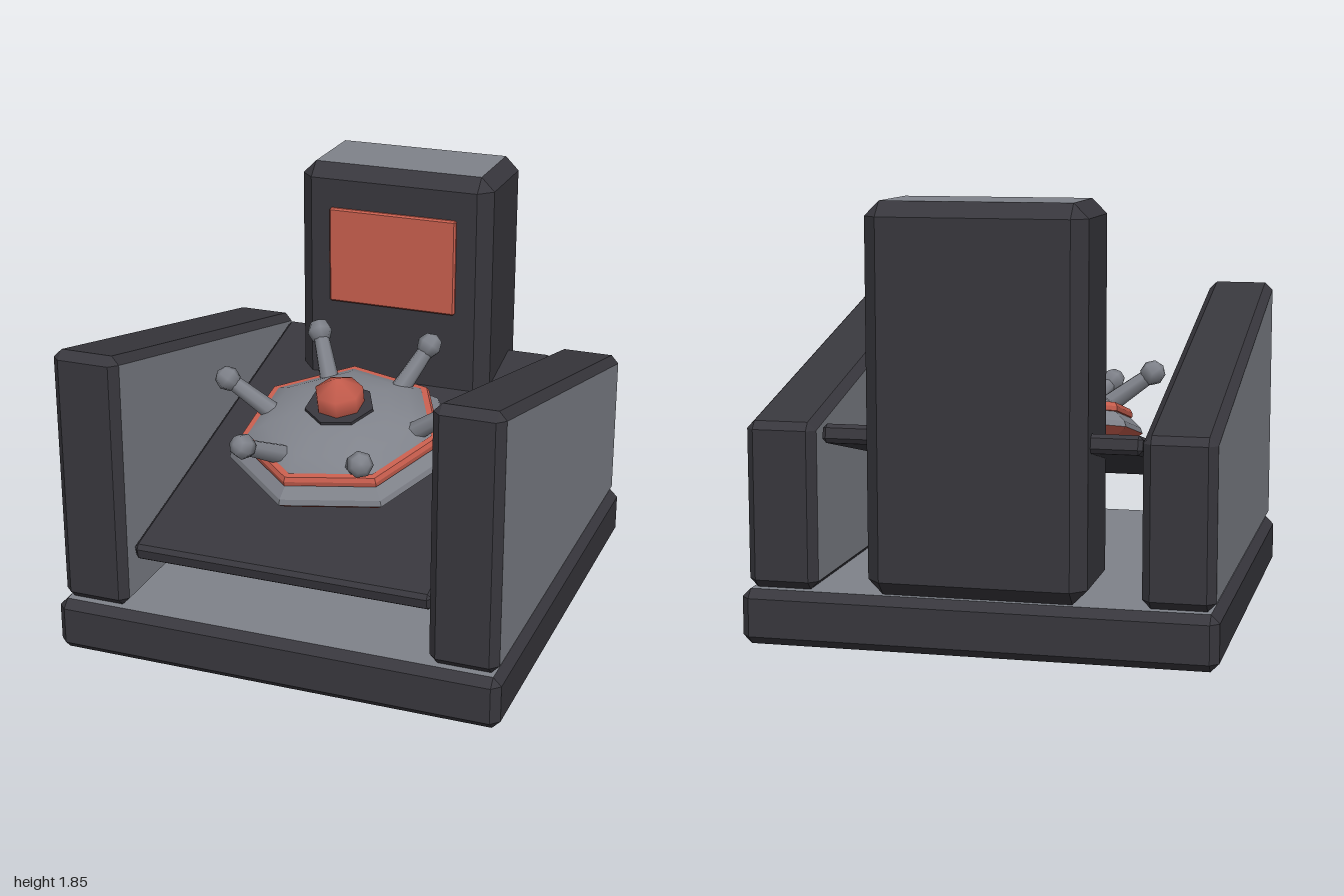
import * as THREE from 'three';
import { ConvexGeometry } from 'three/addons/geometries/ConvexGeometry.js';

function mat(name, color) {
  const m = new THREE.MeshStandardMaterial({ color });
  m.name = name;
  return m;
}

// Prism along z with every edge chamfered by c. Points are the cap outline, counter-clockwise.
// Group 0 holds the two caps, group 1 the rim and chamfers.
function chamferPrism(outline, depth, c) {
  const pts = [];
  const n = outline.length;
  const h = depth / 2;
  outline.forEach(([x, y], i) => {
    for (const s of [-1, 1]) pts.push(new THREE.Vector3(x, y, s * h));
    for (const [a, b] of [[outline[(i + n - 1) % n], outline[i]], [outline[i], outline[(i + 1) % n]]]) {
      const dx = b[0] - a[0], dy = b[1] - a[1], l = Math.hypot(dx, dy);
      for (const s of [-1, 1]) pts.push(new THREE.Vector3(x + (dy / l) * c, y - (dx / l) * c, s * (h - c)));
    }
  });
  const geo = new ConvexGeometry(pts);
  const normal = geo.attributes.normal;
  for (let i = 0; i < normal.count; i += 3) geo.addGroup(i, 3, Math.abs(normal.getZ(i)) > 0.99 ? 0 : 1);
  return geo;
}

// Chamfered box of full size w x h x d with its caps on +z and -z
function chamferBox(w, h, d, c) {
  const x = w / 2 - c, y = h / 2 - c;
  return chamferPrism([[-x, -y], [x, -y], [x, y], [-x, y]], d, c);
}

function flat(geo) {
  const g = geo.toNonIndexed();
  g.computeVertexNormals();
  return g;
}

// Seven-sided turned part with one corner on +x
function turned(profile) {
  return new THREE.LatheGeometry(profile.map(p => new THREE.Vector2(...p)), 7, Math.PI / 2);
}

export function createModel() {
  const model = new THREE.Group();
  const dark = mat('charcoal', 0x38373d);
  const grey = mat('steelGrey', 0x7f828a);
  const red = mat('coralRed', 0xc65d4d);

  function add(parent, name, geo, material, x = 0, y = 0, z = 0) {
    const m = new THREE.Mesh(geo, material);
    m.name = name;
    m.position.set(x, y, z);
    parent.add(m);
    return m;
  }

  // Base plate
  add(model, 'base', chamferBox(2, 2, 0.235, 0.036).rotateX(-Math.PI / 2), [grey, dark], 0, 0.1175, 0);

  // Sloping side panels, higher at the front
  const side = chamferPrism([[-0.93, 0.27], [0.925, 0.27], [0.925, 0.905], [-0.93, 1.345]], 0.3, 0.035);
  side.rotateY(Math.PI / 2);
  add(model, 'leftPanel', side, [grey, dark], 0.83);
  add(model, 'rightPanel', side, [grey, dark], -0.83);

  // Upright tower with its screen
  add(model, 'tower', chamferBox(0.92, 0.5, 1.615, 0.062).rotateX(-Math.PI / 2), [grey, dark], 0, 1.0425, -0.75);
  add(model, 'screen', chamferBox(0.61, 0.45, 0.03, 0.008), [red, red], 0, 1.43, -0.497);

  // Tilted deck
  const tilt = 0.232;
  const deck = add(model, 'deck', chamferBox(1.34, 1.83, 0.08, 0.018).rotateX(-Math.PI / 2), [dark, dark], 0, 0.68, 0);
  deck.rotation.x = tilt;

  // Domed hub standing on the deck
  const hub = new THREE.Group();
  hub.name = 'hub';
  hub.position.set(0, 0.69, 0.105);
  hub.rotation.x = tilt;
  model.add(hub);
  add(hub, 'hubUnderside', flat(turned([[0.3, 0], [0.46, 0.05], [0.51, 0.09]])), red);
  add(hub, 'hubSkirt', flat(turned([[0.51, 0.09], [0.5, 0.115], [0.44, 0.165]])), grey);
  add(hub, 'hubRing', flat(turned([[0.43, 0.15], [0.457, 0.16], [0.457, 0.18], [0.445, 0.198], [0.41, 0.2]])), red);
  add(hub, 'hubDome', turned([[0.422, 0.185], [0.415, 0.203], [0.34, 0.24], [0.24, 0.272], [0.13, 0.29], [0, 0.295]]), grey);
  add(hub, 'knobCollar', flat(turned([[0.155, 0.26], [0.155, 0.3], [0, 0.3]])), dark);
  add(hub, 'knob', new THREE.SphereGeometry(0.125, 7, 3), red, 0, 0.312, 0);

  // Six leaning posts with ball ends
  const lean = Math.atan2(0.2, 0.15);
  for (let i = 0; i < 6; i++) {
    const arm = new THREE.Group();
    arm.name = 'post' + (i + 1);
    arm.rotation.y = (i * Math.PI) / 3;
    hub.add(arm);
    const rod = add(arm, 'postRod', new THREE.CylinderGeometry(0.035, 0.045, 0.25, 7), grey, 0.43, 0.275, 0);
    rod.rotation.z = -lean;
    const ball = add(arm, 'postBall', new THREE.SphereGeometry(0.058, 7, 4), grey, 0.53, 0.35, 0);
    ball.rotation.z = -lean;
  }
  return model;
}
